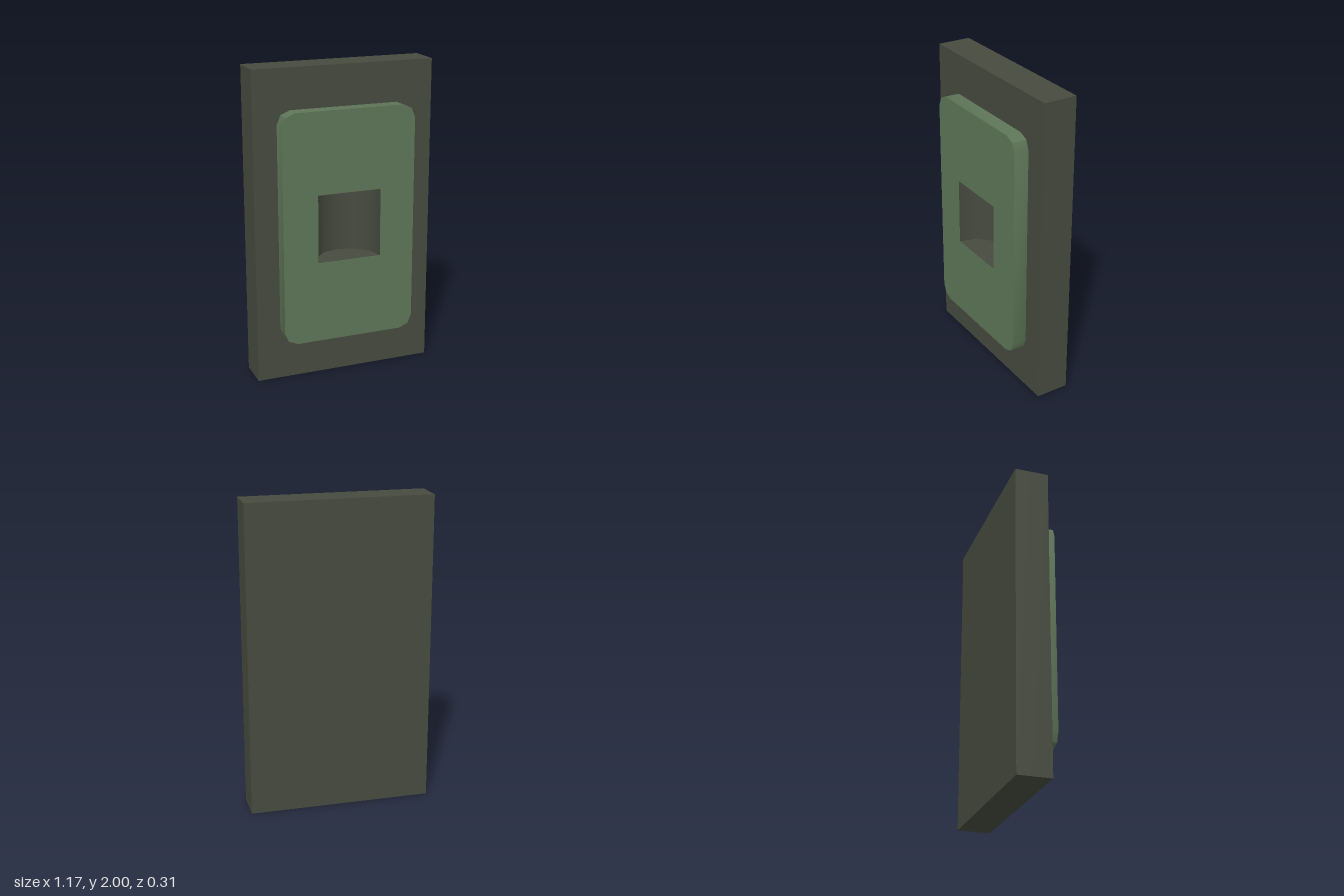
import * as THREE from 'three';
import { toCreasedNormals } from 'three/addons/utils/BufferGeometryUtils.js';

const HOLE_W = 0.208, HOLE_H = 0.22, FRONT = 0.155, STEP = 0.06, BACK = -0.155;

// Rectangle outline centred on the origin, with optional rounded corners
function rectangle(target, w, h, r = 0) {
  if (r === 0) {
    return target.moveTo(-w, -h).lineTo(w, -h).lineTo(w, h).lineTo(-w, h).closePath();
  }
  target.moveTo(-w + r, -h);
  [[1, -1], [1, 1], [-1, 1], [-1, -1]].forEach(([sx, sy], i) => {
    const start = (i - 1) * Math.PI / 2;
    target.absarc(sx * (w - r), sy * (h - r), r, start, start + Math.PI / 2, false);
  });
  return target.closePath();
}

// Plate with the recess opening cut through it
function plate(name, w, h, r, z0, z1, material) {
  const shape = rectangle(new THREE.Shape(), w, h, r);
  shape.holes.push(rectangle(new THREE.Path(), HOLE_W, HOLE_H));
  const geometry = new THREE.ExtrudeGeometry(shape, { depth: z1 - z0, bevelEnabled: false, curveSegments: 1 });
  const mesh = new THREE.Mesh(toCreasedNormals(geometry, 0.6), material);
  mesh.name = name;
  mesh.position.set(0, 1, z0);
  return mesh;
}

export function createModel() {
  const dark = new THREE.MeshStandardMaterial({ color: 0x464a3e, side: THREE.DoubleSide });
  dark.name = 'dark olive';
  const green = new THREE.MeshStandardMaterial({ color: 0x5e7558 });
  green.name = 'muted green';

  const group = new THREE.Group();
  group.name = 'recessedPanel';

  // Back board: solid slab behind, opened slab in front
  const split = -0.06;
  const slab = new THREE.Mesh(new THREE.BoxGeometry(1.174, 2, split - BACK), dark);
  slab.name = 'boardBack';
  slab.position.set(0, 1, (split + BACK) / 2);
  group.add(slab, plate('boardFront', 0.587, 1, 0, split, STEP, dark));

  // Raised panel with rounded corners
  group.add(plate('raisedPanel', 0.435, 0.742, 0.085, STEP, FRONT, green));

  // Half-round recess with flat floor and ceiling, just inside the opening
  const recess = new THREE.Mesh(
    new THREE.CylinderGeometry(HOLE_W - 0.001, HOLE_W - 0.001, 2 * HOLE_H - 0.003, 6, 1, false, Math.PI / 2, Math.PI), dark);
  recess.name = 'recess';
  recess.position.set(0, 1, FRONT);
  group.add(recess);

  return group;
}
